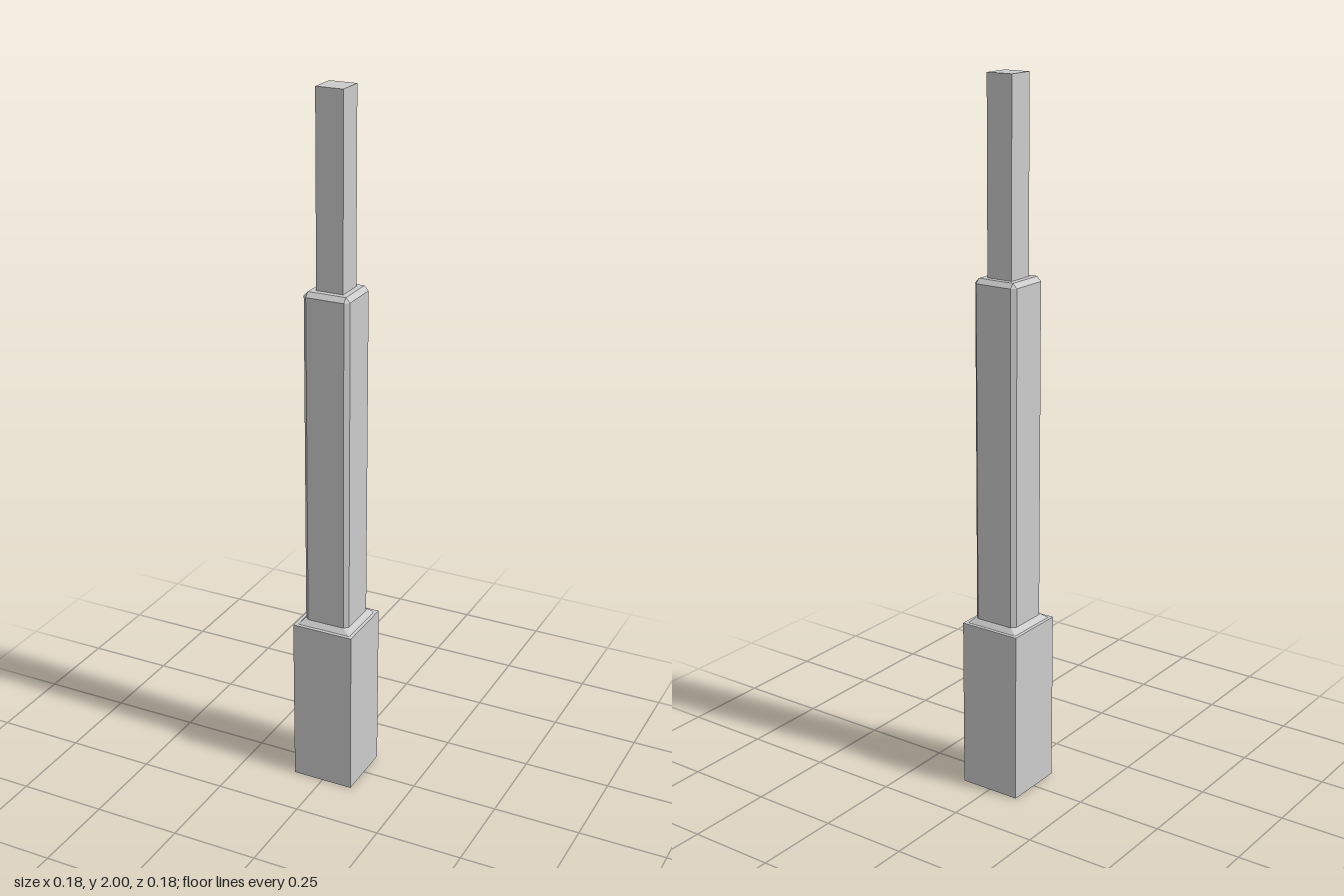
import * as THREE from 'three';

const gray = new THREE.MeshStandardMaterial({ color: 0xcccccc });
gray.name = 'plain gray';

// Square outline with cut corners: two points per corner, counter-clockwise from above
function ring([half, cut, y]) {
  const points = [];
  let pair = [[half - cut, half], [half, half - cut]];
  for (let i = 0; i < 4; i++) {
    for (const [x, z] of pair) points.push(new THREE.Vector3(x, y, z));
    pair = pair.map(([x, z]) => [z, -x]);
  }
  return points;
}

// Flat-faced loft through the outlines, closed at both ends
function loft(sections) {
  const rings = sections.map(ring);
  const positions = [];
  const tri = (a, b, c) => {
    const area = b.clone().sub(a).cross(c.clone().sub(a)).length();
    if (area > 1e-9) for (const p of [a, b, c]) positions.push(p.x, p.y, p.z);
  };
  for (let r = 0; r < rings.length - 1; r++) {
    const low = rings[r], high = rings[r + 1];
    for (let i = 0; i < 8; i++) {
      const j = (i + 1) % 8;
      tri(low[i], low[j], high[j]);
      tri(low[i], high[j], high[i]);
    }
  }
  const bottom = rings[0], top = rings[rings.length - 1];
  for (let i = 1; i < 7; i++) {
    tri(top[0], top[i], top[i + 1]);
    tri(bottom[0], bottom[i + 1], bottom[i]);
  }
  const geometry = new THREE.BufferGeometry();
  geometry.setAttribute('position', new THREE.Float32BufferAttribute(positions, 3));
  geometry.computeVertexNormals();
  return geometry;
}

export function createModel() {
  const model = new THREE.Group();
  model.name = 'steppedPost';
  const add = (name, sections) => {
    const mesh = new THREE.Mesh(loft(sections), gray);
    mesh.name = name;
    model.add(mesh);
  };

  // Each section is [half width, corner cut, height]
  add('baseBlock', [[0.09, 0, 0], [0.09, 0, 0.492]]);
  // Chamfered shaft with a sloped foot and bevelled top
  add('middleShaft', [
    [0.08, 0, 0.492],
    [0.067, 0.012, 0.506],
    [0.067, 0.012, 1.457],
    [0.055, 0, 1.47],
  ]);
  add('topPost', [[0.039, 0, 1.47], [0.039, 0, 2]]);
  return model;
}
